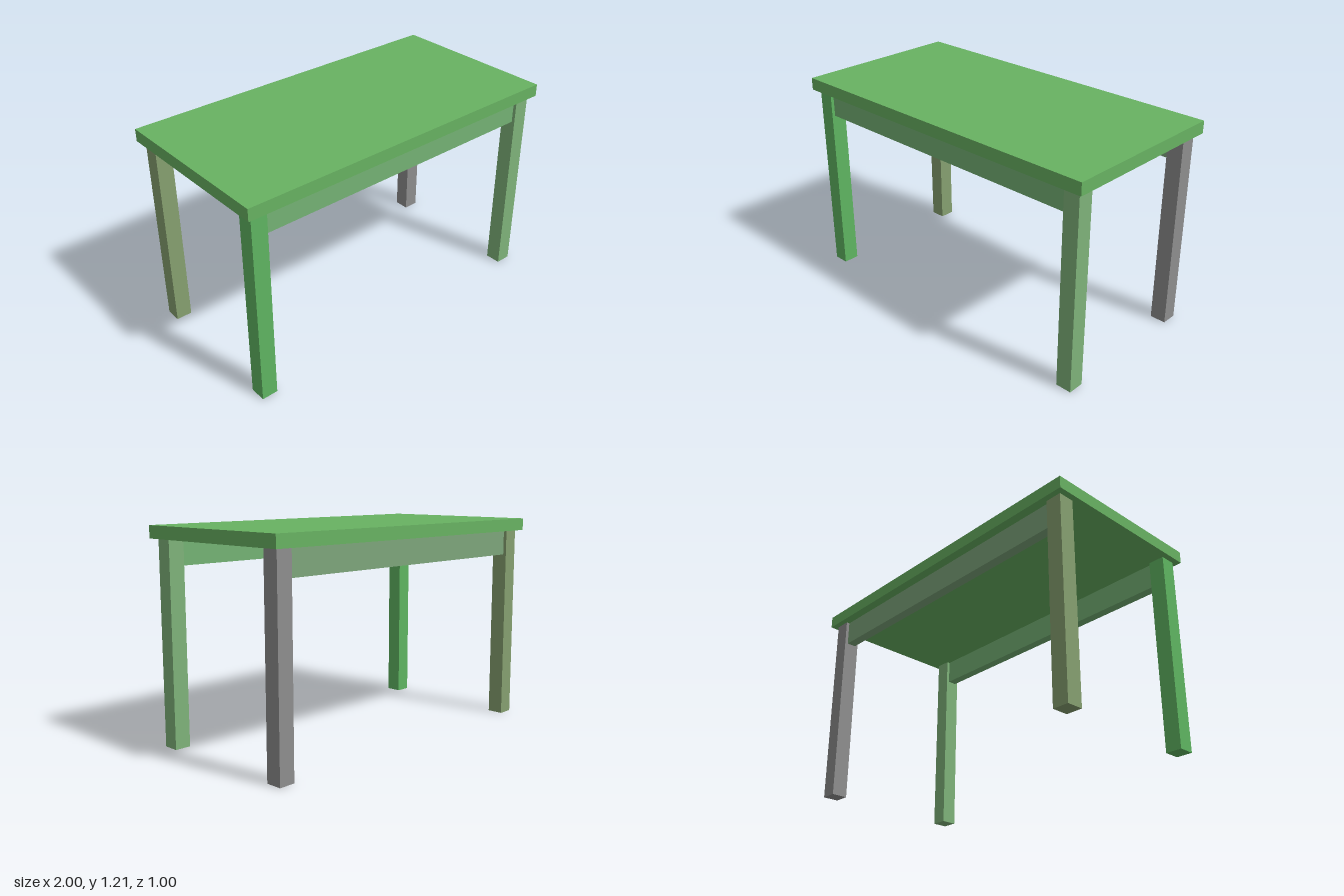
import * as THREE from 'three';

const TOP = 1.205, TOP_THICK = 0.07, UNDER = TOP - TOP_THICK;
const LEG = 0.092, LEG_X = 0.921, LEG_Z = 0.421;
const APRON_HEIGHT = 0.145, APRON_THICK = 0.055;

function box(name, size, position, color) {
  const mesh = new THREE.Mesh(
    new THREE.BoxGeometry(...size),
    new THREE.MeshStandardMaterial({ color })
  );
  mesh.name = name;
  mesh.position.set(...position);
  return mesh;
}

export function createModel() {
  const table = new THREE.Group();
  table.name = 'table';

  // Flat rectangular top
  table.add(box('tableTop', [2, TOP_THICK, 1], [0, TOP - TOP_THICK / 2, 0], 0x68b262));

  // Four square legs, set in from the edge of the top
  const legs = [
    ['frontLeftLeg', 1, 1, 0x7fb37a],
    ['frontRightLeg', -1, 1, 0x5fb561],
    ['backLeftLeg', 1, -1, 0x8e8e8e],
    ['backRightLeg', -1, -1, 0x86a070],
  ];
  for (const [name, sx, sz, color] of legs) {
    table.add(box(name, [LEG, UNDER, LEG], [sx * LEG_X, UNDER / 2, sz * LEG_Z], color));
  }

  // Long aprons between the legs, front and back only
  const aprons = [
    ['frontApron', 1, 0x74b274],
    ['backApron', -1, 0x7da67b],
  ];
  for (const [name, sz, color] of aprons) {
    table.add(box(
      name,
      [2 * LEG_X - LEG, APRON_HEIGHT, APRON_THICK],
      [0, UNDER - APRON_HEIGHT / 2, sz * LEG_Z],
      color
    ));
  }

  return table;
}
